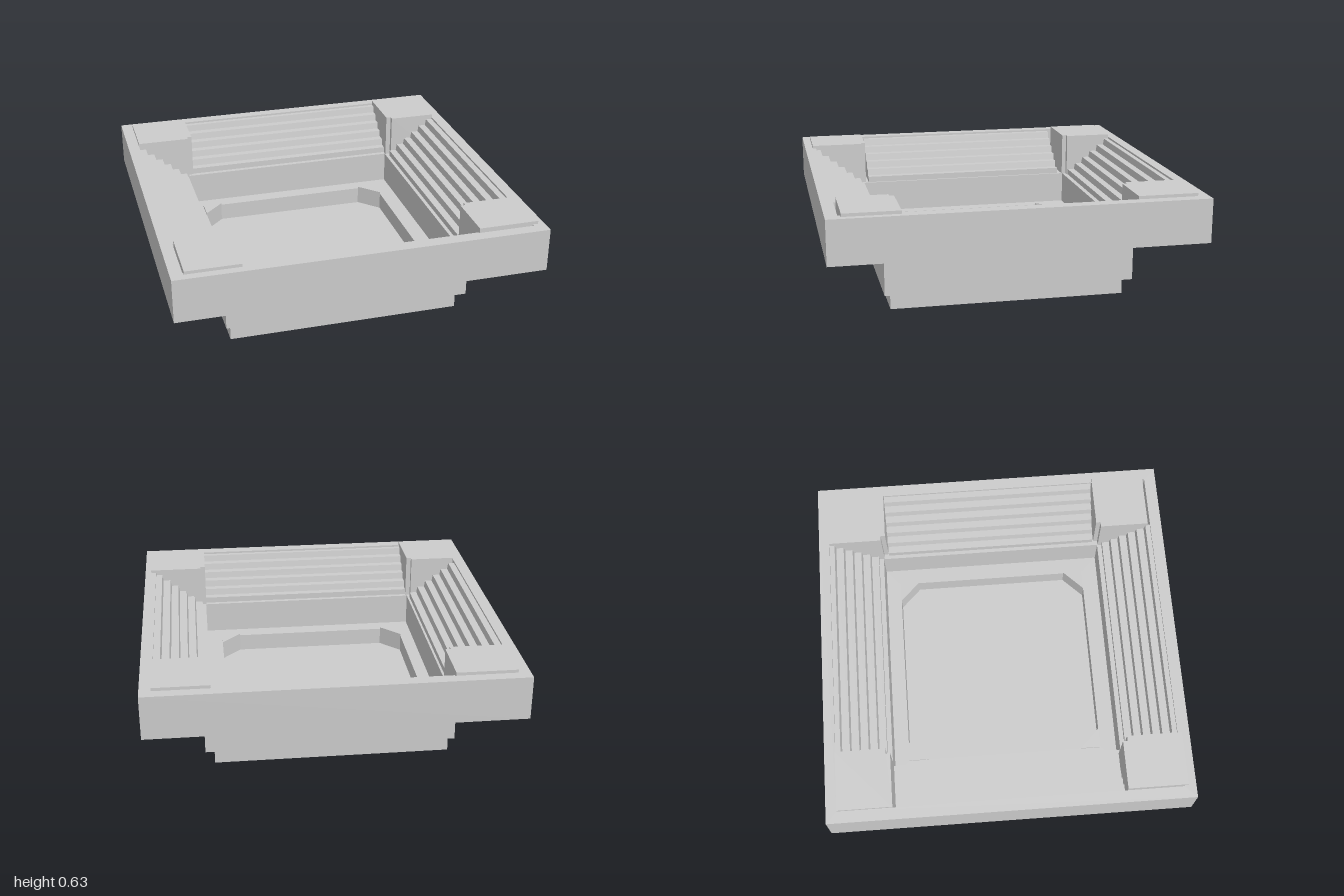
import * as THREE from 'three';

const material = new THREE.MeshStandardMaterial({ color: 0xcccccc, flatShading: true });

// Closed outline from [x, z] corners, ready to be laid flat after extrusion
const outline = (points, Kind = THREE.Shape) =>
  new Kind(points.map(([x, z]) => new THREE.Vector2(x, -z)));

// Counter-clockwise seen from above, so that openings face inwards
const rect = ([x0, x1, z0, z1]) => [[x0, z1], [x1, z1], [x1, z0], [x0, z0]];

// Upright slab from a plan outline, with an optional rectangular opening
function slab(name, points, y0, y1, opening) {
  const shape = outline(points);
  if (opening) shape.holes.push(outline(rect(opening), THREE.Path));
  const geometry = new THREE.ExtrudeGeometry(shape, { depth: y1 - y0, bevelEnabled: false });
  geometry.rotateX(-Math.PI / 2);
  geometry.translate(0, y0, 0);
  const mesh = new THREE.Mesh(geometry, material);
  mesh.name = name;
  return mesh;
}

// Stepped stand along one side, descending towards the centre
function steppedStand(name, turn, firstEdge, length) {
  const steps = 6, top = 0.607, rise = 0.038, run = 0.048, bottom = 0.379;
  const profile = new THREE.Shape();
  profile.moveTo(0.94, bottom);
  profile.lineTo(0.94, top);
  for (let i = 0; i < steps; i++) {
    const edge = firstEdge - i * run;
    const y = top - i * rise;
    const last = i === steps - 1;
    profile.lineTo(edge, y);
    profile.lineTo(last ? edge : edge - 0.006, last ? bottom : y - rise);
  }
  profile.closePath();
  const geometry = new THREE.ExtrudeGeometry(profile, { depth: length, bevelEnabled: false });
  geometry.translate(0, 0, -length / 2);
  geometry.rotateY(-Math.PI / 2);
  const mesh = new THREE.Mesh(geometry, material);
  mesh.name = name;
  mesh.rotation.y = turn;
  return mesh;
}

export function createModel() {
  const model = new THREE.Group();
  model.name = 'squareArena';

  // Outer walls and the deck that carries the stands
  const pit = [-0.645, 0.637, -0.645, 0.642];
  const yard = [-0.935, 0.935, -0.94, 0.935];
  model.add(
    slab('outerWall', rect([-1, 1, -1, 1]), 0.377, 0.618, yard),
    slab('standDeck', rect(yard), 0.377, 0.383, pit),
    slab('middleWall', rect([-0.683, 0.683, -0.683, 0.683]), 0.094, 0.377, pit)
  );

  // Base, inner ledge and recessed floor
  const court = [-0.573, 0.545, -0.561, 0.55];
  model.add(
    slab('baseRing', rect([-0.656, 0.633, -0.641, 0.648]), 0, 0.1, court),
    slab('innerLedge', rect([-0.66, 0.66, -0.66, 0.66]), 0.1, 0.2, court),
    slab('floor', rect([-0.6, 0.57, -0.58, 0.57]), 0.08, 0.1)
  );

  // Stepped stands on the four sides
  model.add(
    steppedStand('frontStand', 0, 0.908, 1.28),
    steppedStand('leftStand', Math.PI / 2, 0.898, 1.226),
    steppedStand('backStand', Math.PI, 0.912, 1.28),
    steppedStand('rightStand', -Math.PI / 2, 0.898, 1.226)
  );

  // Corner blocks with a small notch facing the centre: inner x, inner z, outer x, outer z
  const blocks = {
    backRight: [-0.61, -0.64, -0.935, -0.94],
    backLeft: [0.64, -0.615, 0.938, -0.94],
    frontRight: [-0.637, 0.63, -0.93, 0.955],
    frontLeft: [0.635, 0.62, 0.965, 0.92]
  };
  for (const [place, [ix, iz, ox, oz]] of Object.entries(blocks)) {
    const nx = ix + Math.sign(ix) * 0.028;
    const nz = iz + Math.sign(iz) * 0.025;
    model.add(slab(`${place}CornerBlock`,
      [[ox, oz], [ix, oz], [ix, nz], [nx, nz], [nx, iz], [ox, iz]], 0.381, 0.635));
  }

  // Triangular posts in the floor corners
  const [x0, x1, z0, z1] = court;
  for (const [x, sx] of [[x0, 1], [x1, -1]]) {
    for (const [z, sz] of [[z0, 1], [z1, -1]]) {
      model.add(slab('floorCornerPost',
        [[x, z], [x + sx * 0.112, z], [x, z + sz * 0.112]], 0.09, 0.21));
    }
  }
  return model;
}
